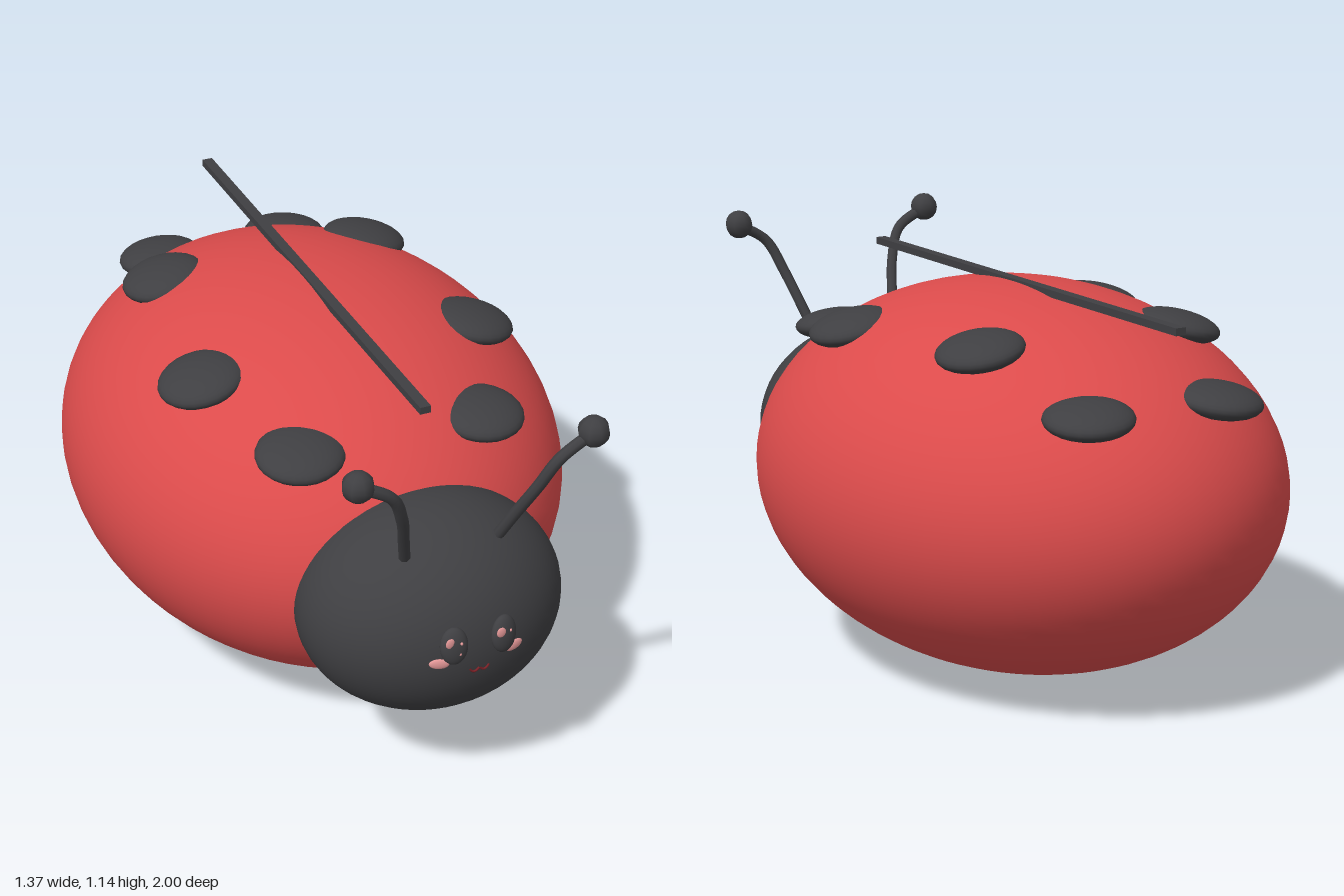
import * as THREE from 'three';

const material = (name, color) => {
  const m = new THREE.MeshStandardMaterial({ color });
  m.name = name;
  return m;
};

export function createModel() {
  const model = new THREE.Group();
  model.name = 'ladybug';
  const red = material('shell red', 0xdb4b4b);
  const black = material('soft black', 0x3f3f42);
  const pink = material('blush pink', 0xe89a9a);
  const mouthRed = material('mouth red', 0x7c2228);

  const add = (name, geometry, mat, position = [0, 0, 0]) => {
    const mesh = new THREE.Mesh(geometry, mat);
    mesh.name = name;
    mesh.position.set(...position);
    model.add(mesh);
    return mesh;
  };
  // Sphere stretched to three radii
  const ellipsoid = (name, mat, position, radii, w = 24, h = 16) =>
    add(name, new THREE.SphereGeometry(1, w, h).scale(...radii), mat, position);

  // Body, head and the straight wing seam
  ellipsoid('body', red, [0, 0.537, -0.14], [0.685, 0.533, 0.86], 64, 40);
  ellipsoid('head', black, [0, 0.518, 0.67], [0.363, 0.298, 0.3], 48, 32);
  add('wingSeam', new THREE.BoxGeometry(0.03, 0.02, 1.54), black, [0, 1.066, -0.14]);

  // Spots: position, then tilt about x and z (for the left side)
  const spots = [
    [[0.26, 0.88, 0.425], 0.12, -0.05],
    [[0.4, 0.947, 0.075], 0.02, -0.22],
    [[0.31, 0.968, -0.455], -0.06, -0.2],
    [[0.2, 0.845, -0.8], -0.12, -0.08],
  ];

  for (const side of [1, -1]) {
    const label = side > 0 ? 'left' : 'right';

    spots.forEach(([[x, y, z], tiltX, tiltZ], i) => {
      const spot = ellipsoid(`${label}Spot${i + 1}`, black, [side * x, y, z], [0.12, 0.043, 0.12]);
      spot.rotation.set(tiltX, 0, side * tiltZ);
    });

    // Antenna stalk and knob
    const path = new THREE.CatmullRomCurve3([
      [0.13, 0.75, 0.797], [0.155, 0.84, 0.843], [0.188, 0.95, 0.9], [0.23, 1.04, 0.93], [0.32, 1.095, 0.93],
    ].map(([x, y, z]) => new THREE.Vector3(side * x, y, z)));
    add(`${label}Antenna`, new THREE.TubeGeometry(path, 24, 0.016, 8), black);
    ellipsoid(`${label}AntennaKnob`, black, [side * 0.32, 1.097, 0.93], [0.042, 0.042, 0.042], 8, 8);

    // Eye with its highlights
    const eyeX = side * 0.07;
    const eye = ellipsoid(`${label}Eye`, black, [eyeX, 0.577, 0.972], [0.037, 0.054, 0.021]);
    eye.rotation.set(-0.1, side * 0.2, 0);
    [[-0.017, 0.02, 0.013], [0.009, -0.015, 0.006], [0.012, 0.016, 0.004]].forEach(([dx, dy, r], i) => {
      ellipsoid(`${label}EyeHighlight${i + 1}`, pink,
        [eyeX + dx, 0.577 + dy, 0.989 - side * dx * 0.2], [r, r * 1.15, 0.004], 12, 8);
    });

    // Cheek
    const cheek = ellipsoid(`${label}Cheek`, pink, [side * 0.106, 0.524, 0.963], [0.027, 0.015, 0.006], 16, 10);
    cheek.rotation.set(0, side * 0.25, side * 0.1);

    // Half of the smile
    const smile = new THREE.QuadraticBezierCurve3(
      new THREE.Vector3(0, 0.497, 0.981),
      new THREE.Vector3(side * 0.015, 0.476, 0.981),
      new THREE.Vector3(side * 0.028, 0.498, 0.979));
    add(`${label}Smile`, new THREE.TubeGeometry(smile, 10, 0.003, 6), mouthRed);
  }

  return model;
}
